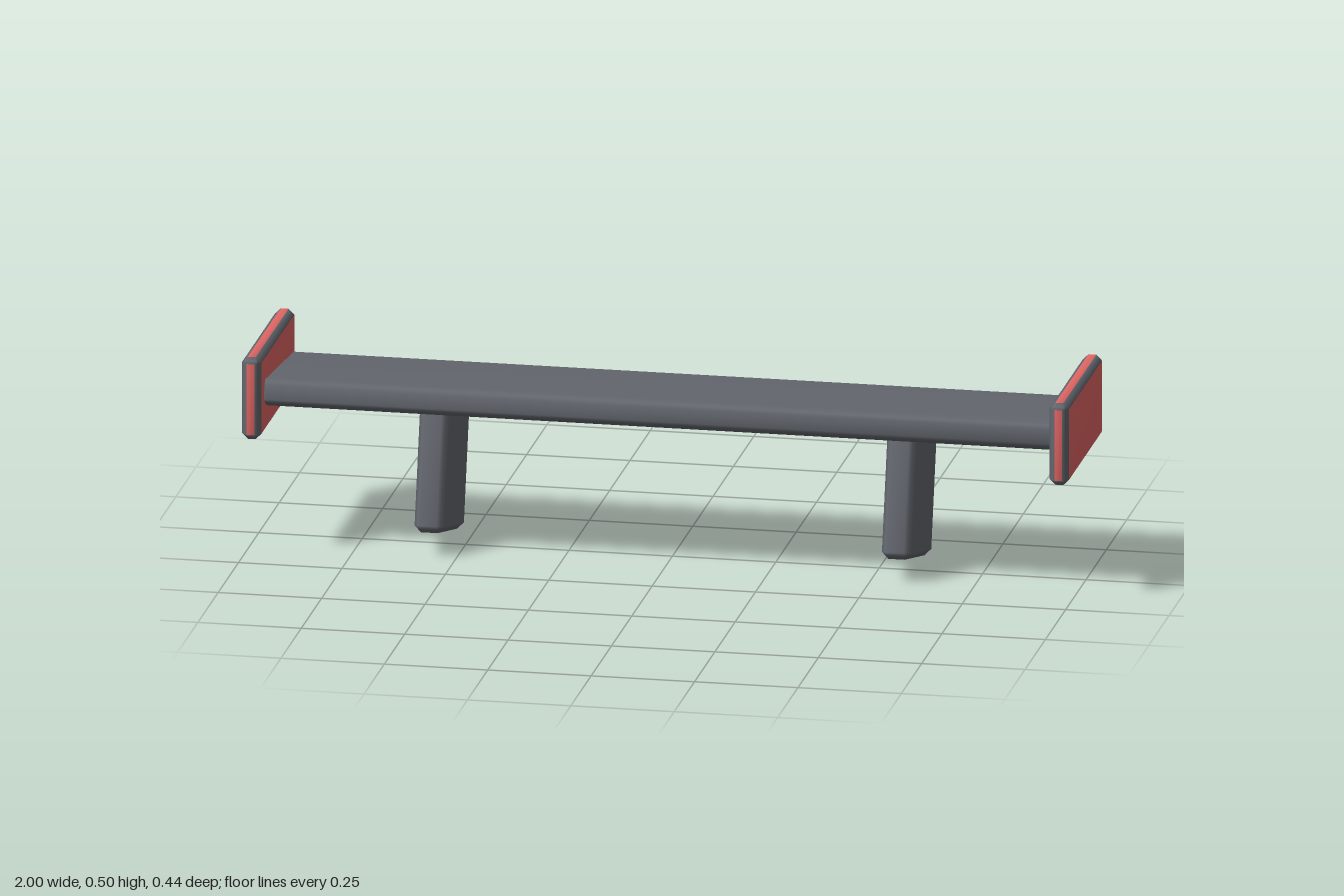
import * as THREE from 'three';
import { mergeVertices } from 'three/addons/utils/BufferGeometryUtils.js';

// Chamfered box: group 0 holds the six flat faces, group 1 the chamfers.
function chamferBox(w, h, d, b) {
  let geo = new THREE.BoxGeometry(3, 3, 3, 3, 3, 3);
  const half = [w / 2, h / 2, d / 2];
  const pos = geo.attributes.position;
  for (let i = 0; i < pos.count; i++) {
    const p = [pos.getX(i), pos.getY(i), pos.getZ(i)];
    const outer = p.filter((v) => Math.abs(v) > 1).length;
    // faces stay out, edges sit on the chamfer's middle, corners on the corner triangle
    const q = p.map((v, a) => {
      const inset = Math.abs(v) > 1 ? b * (outer - 1) / outer : b;
      return Math.sign(v) * (half[a] - inset);
    });
    pos.setXYZ(i, ...q);
  }
  // each side has 3 x 3 cells of two triangles; the middle cell is the flat face
  const flat = [], bevel = [];
  const index = Array.from(geo.index.array);
  for (let cell = 0; cell < 54; cell++) {
    (cell % 9 === 4 ? flat : bevel).push(...index.slice(cell * 6, cell * 6 + 6));
  }
  geo.setIndex([...flat, ...bevel]);
  geo.deleteAttribute('normal');
  geo.deleteAttribute('uv');
  geo = mergeVertices(geo, 1e-5);
  geo.clearGroups();
  geo.addGroup(0, flat.length, 0);
  geo.addGroup(flat.length, bevel.length, 1);
  geo.computeVertexNormals();
  return geo;
}

export function createModel() {
  const grey = new THREE.MeshStandardMaterial({ color: 0x64686f });
  grey.name = 'dark grey';
  const red = new THREE.MeshStandardMaterial({ color: 0xe06664 });
  red.name = 'red';

  const model = new THREE.Group();
  model.name = 'rearWing';
  const add = (name, geo, mats, x, y, z, tilt = 0) => {
    const mesh = new THREE.Mesh(geo, mats);
    mesh.name = name;
    mesh.position.set(x, y, z);
    mesh.rotation.x = tilt;
    model.add(mesh);
  };

  // main blade, front edge slightly raised
  add('blade', chamferBox(1.93, 0.068, 0.357, 0.017), [grey, grey], 0, 0.387, 0, -0.1);

  const plate = chamferBox(0.047, 0.203, 0.434, 0.014);
  const strut = chamferBox(0.072, 0.35, 0.28, 0.016);
  for (const [side, s] of [['left', 1], ['right', -1]]) {
    // end plates: red faces with grey chamfers
    add(side + 'EndPlate', plate, [red, grey], s * 0.9765, 0.3985, 0.005);
    // leaning support struts
    add(side + 'Strut', strut, [grey, grey], s * 0.565, 0.2015, -0.045, -0.245);
  }
  return model;
}
